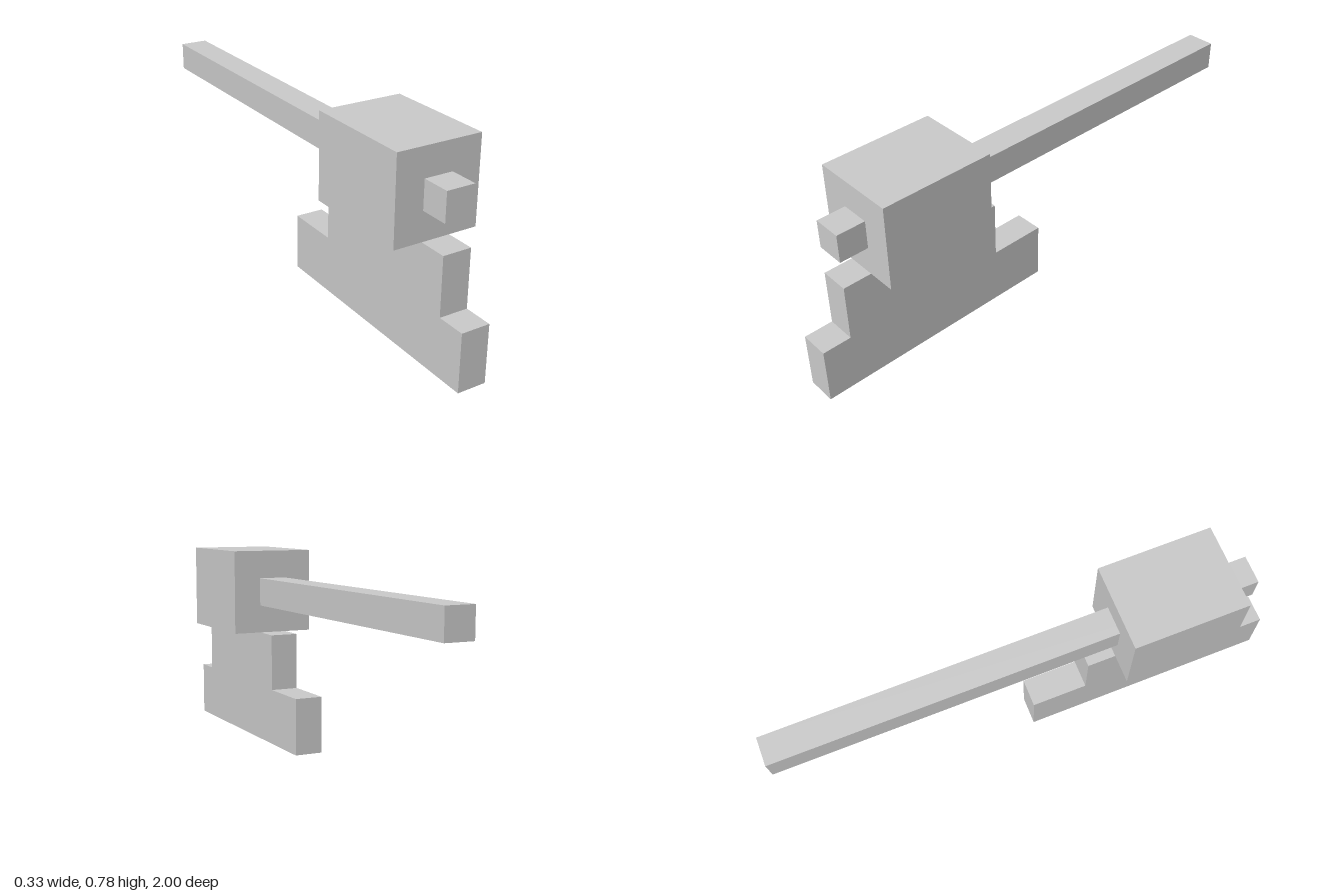
import * as THREE from 'three';

// Every dimension is a whole number of these units
const U = 1 / 18;

export function createModel() {
  const model = new THREE.Group();
  const material = new THREE.MeshStandardMaterial({ color: 0xcccccc, flatShading: true });

  const add = (name, geometry) => {
    const mesh = new THREE.Mesh(geometry, material);
    mesh.name = name;
    model.add(mesh);
    return mesh;
  };

  // Box centred on x, spanning y0..y1 and z0..z1 in units
  const addBox = (name, width, y0, y1, z0, z1) => {
    const geometry = new THREE.BoxGeometry(width * U, (y1 - y0) * U, (z1 - z0) * U);
    add(name, geometry).position.set(0, (y0 + y1) / 2 * U, (z0 + z1) / 2 * U);
  };

  // Stepped base: side profile (z, y) extruded across x
  const profile = [[0, 0], [18, 0], [18, 4], [16, 4], [16, 8], [4, 8], [4, 4], [0, 4]];
  const shape = new THREE.Shape(profile.map(([z, y]) => new THREE.Vector2(z * U, y * U)));
  const base = new THREE.ExtrudeGeometry(shape, { depth: 2 * U, bevelEnabled: false });
  base.translate(0, 0, -U).rotateY(-Math.PI / 2);
  add('steppedBase', base);

  // Head block on the base
  addBox('headBlock', 6, 8, 14, 6, 14);

  // Long bar passing through the head, with a short stub at the front
  addBox('bar', 2, 10, 12, -18, 16);

  return model;
}
